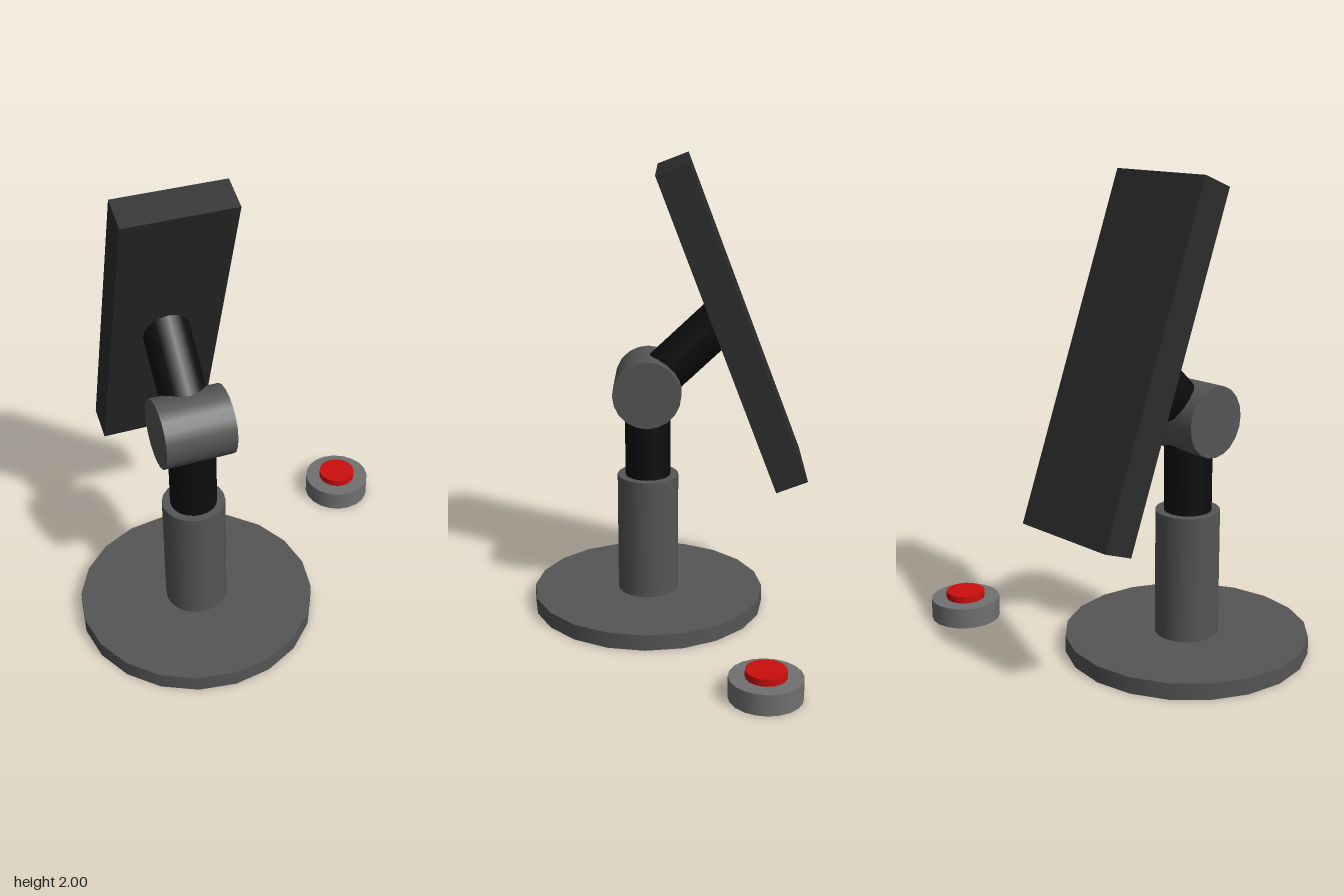
import * as THREE from 'three';

const SIDES = 20;
const paint = (color) => new THREE.MeshStandardMaterial({ color });

export function createModel() {
  const root = new THREE.Group();
  const grey = paint(0x555555);
  const lightGrey = paint(0x707070);
  const charcoal = paint(0x2c2c2c);
  const black = paint(0x0d0d0d);
  const red = paint(0xcc0e0e);

  const add = (parent, name, geometry, material, x, y, z) => {
    const mesh = new THREE.Mesh(geometry, material);
    mesh.name = name;
    mesh.position.set(x, y, z);
    parent.add(mesh);
    return mesh;
  };
  // Upright cylinder between two heights
  const post = (parent, name, radius, y0, y1, material) =>
    add(parent, name, new THREE.CylinderGeometry(radius, radius, y1 - y0, SIDES),
      material, 0, (y0 + y1) / 2, 0);

  // Stand: base disc, outer sleeve and telescoping inner tube
  const stand = new THREE.Group();
  stand.name = 'stand';
  stand.position.set(-0.27, 0, 0.09);
  root.add(stand);
  post(stand, 'baseDisc', 0.515, 0, 0.07, grey);
  post(stand, 'columnSleeve', 0.135, 0.07, 0.61, grey);
  post(stand, 'columnTube', 0.1, 0.61, 1.01, black);

  // Tilt joint: a barrel lying across the column
  const hinge = add(stand, 'hingeBarrel', new THREE.CylinderGeometry(0.148, 0.148, 0.3, SIDES),
    grey, 0, 1.01, 0);
  hinge.rotation.z = Math.PI / 2;

  // Arm leaning back from the joint into the panel
  const lean = THREE.MathUtils.degToRad(46.5);
  const armLength = 0.49;
  const arm = add(stand, 'panelArm', new THREE.CylinderGeometry(0.1, 0.1, armLength, SIDES), black,
    0, 1.01 + Math.cos(lean) * armLength / 2, -Math.sin(lean) * armLength / 2);
  arm.rotation.x = -lean;

  // Tilted panel
  const panel = add(root, 'panel', new THREE.BoxGeometry(0.47, 1.44, 0.144), charcoal,
    -0.27, 1.3025, -0.275);
  panel.rotation.x = THREE.MathUtils.degToRad(20.95);

  // Separate push button
  const button = new THREE.Group();
  button.name = 'pushButton';
  button.position.set(0.63, 0, -0.395);
  root.add(button);
  post(button, 'buttonHousing', 0.15, 0, 0.09, lightGrey);
  post(button, 'buttonCap', 0.084, 0.09, 0.12, red);

  return root;
}
